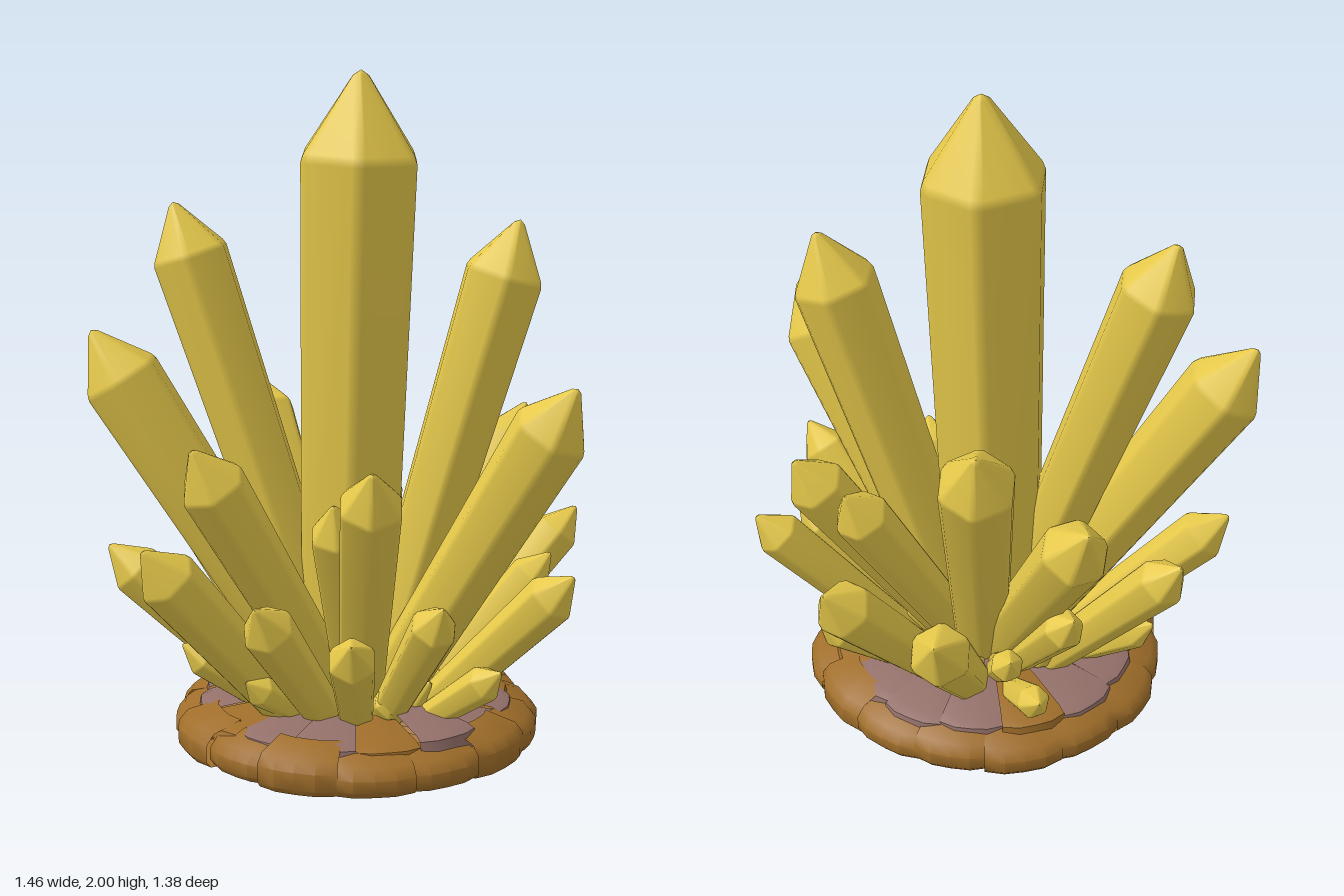
import * as THREE from 'three';
import { mergeVertices, toCreasedNormals } from 'three/addons/utils/BufferGeometryUtils.js';

const V2 = (x, y) => new THREE.Vector2(x, y);

// Small seeded random for stone irregularity
let seed = 7;
function rand() {
  seed = (seed * 16807) % 2147483647;
  return seed / 2147483647;
}

// Six-sided pointed prism with softly bevelled edges, base at the origin, tip at y = length
function crystalGeometry(length, r, baseRatio) {
  const tip = Math.min(r * 1.35, length * 0.45), s = length - tip;
  const profile = [
    V2(0.001, 0), V2(r * baseRatio, 0.005), V2(r * 0.995, s - r * 0.07),
    V2(r * 0.94, s + r * 0.08), V2(r * 0.14, length - r * 0.09), V2(r * 0.001, length),
  ];
  const lathe = new THREE.LatheGeometry(profile, 12);
  const p = lathe.attributes.position;
  for (let i = 0; i <= 12; i++) {
    // Pair the columns around the six corners
    const phi = THREE.MathUtils.degToRad(Math.floor(i / 2) * 60 + 30 + (i % 2 ? 6 : -6));
    profile.forEach((pt, j) => {
      p.setXYZ(i * profile.length + j, pt.x * Math.sin(phi), pt.y, pt.x * Math.cos(phi));
    });
  }
  lathe.deleteAttribute('normal');
  lathe.deleteAttribute('uv');
  const g = mergeVertices(lathe, 1e-5);
  g.computeVertexNormals();
  return g;
}

function addCrystal(parent, material, name, foot, tip, r, baseRatio = 0.74) {
  const dir = tip.clone().sub(foot);
  const m = new THREE.Mesh(crystalGeometry(dir.length(), r, baseRatio), material);
  m.name = name;
  m.position.copy(foot);
  m.quaternion.setFromUnitVectors(new THREE.Vector3(0, 1, 0), dir.normalize());
  parent.add(m);
}

// Sector of a ring, pinched at both ends so that each stone bulges
function stoneGeometry(profile, start, angle, pinch) {
  const g = new THREE.LatheGeometry(profile, 4, start, angle);
  const p = g.attributes.position;
  for (let i = 0; i < p.count; i++) {
    const column = Math.floor(i / profile.length);
    const k = column === 0 || column === 4 ? pinch : 1;
    p.setXYZ(i, p.getX(i) * k, p.getY(i) * (k + 1) / 2, p.getZ(i) * k);
  }
  return toCreasedNormals(g, 0.7);
}

export function createModel() {
  seed = 7;
  const yellow = new THREE.MeshStandardMaterial({ color: 0xe5c84a });
  const brown = new THREE.MeshStandardMaterial({ color: 0xa06e2a, side: THREE.DoubleSide });
  const mauve = new THREE.MeshStandardMaterial({ color: 0x94706a, side: THREE.DoubleSide });
  yellow.name = 'crystalYellow';
  brown.name = 'stoneBrown';
  mauve.name = 'stoneMauve';

  const model = new THREE.Group();
  model.name = 'crystalCluster';
  const crystals = new THREE.Group();
  crystals.name = 'crystals';
  const base = new THREE.Group();
  base.name = 'rockBase';
  base.position.x = -0.01;
  model.add(crystals, base);

  // Central column
  addCrystal(crystals, yellow, 'mainCrystal',
    new THREE.Vector3(-0.045, 0.1, 0), new THREE.Vector3(0, 2, -0.012), 0.184, 0.8);

  // Surrounding crystals: tip x, y, z and radius
  const tips = [
    // tall
    [-0.52, 1.61, 0.195, 0.118], [0.385, 1.565, -0.275, 0.122], [-0.695, 1.24, 0.375, 0.122],
    [0.715, 1.15, 0.02, 0.114], [-0.355, 1.24, -0.53, 0.112], [-0.61, 0.99, -0.36, 0.1],
    [-0.2, 0.98, 0.58, 0.098], [0.33, 0.96, 0.49, 0.093], [0.29, 0.96, -0.53, 0.088],
    [0.1, 0.92, -0.535, 0.082], [0.14, 0.82, 0.38, 0.078],
    // middle
    [-0.3, 0.7, 0.685, 0.09], [0.03, 0.565, 0.62, 0.077], [0.285, 0.475, 0.53, 0.07],
    [-0.725, 0.725, -0.04, 0.075], [-0.63, 0.6, 0.4, 0.08], [0.72, 0.61, 0.03, 0.075],
    [0.47, 0.56, 0.34, 0.068], [0.5, 0.57, -0.28, 0.065], [0.48, 0.66, -0.5, 0.071],
    [0.07, 0.67, -0.685, 0.088], [-0.32, 0.67, -0.68, 0.09], [-0.5, 0.56, -0.25, 0.062],
    // small
    [0.54, 0.32, 0.12, 0.055], [0.45, 0.33, -0.17, 0.052], [0.25, 0.36, -0.5, 0.058],
    [-0.55, 0.32, 0.12, 0.055], [-0.39, 0.32, 0.37, 0.055], [-0.12, 0.27, 0.44, 0.047],
    [-0.3, 0.32, -0.28, 0.05], [-0.46, 0.3, -0.36, 0.05],
  ];
  tips.forEach(([x, y, z, r]) => {
    const f = y > 0.8 ? 0.12 : y > 0.4 ? 0.33 : 0.5;
    const name = y > 0.8 ? 'tallCrystal' : y > 0.4 ? 'middleCrystal' : 'smallCrystal';
    addCrystal(crystals, yellow, name,
      new THREE.Vector3(x * f, 0.115, z * f), new THREE.Vector3(x, y, z), r);
  });

  // Stubby shards filling the foot of the cluster
  for (let i = 0; i < 14; i++) {
    const a = (i / 14) * Math.PI * 2, s = Math.sin(a), c = Math.cos(a), reach = 0.27 + rand() * 0.06;
    addCrystal(crystals, yellow, 'shard', new THREE.Vector3(s * 0.17, 0.12, c * 0.17),
      new THREE.Vector3(s * reach, 0.19 + rand() * 0.05, c * reach), 0.05);
  }

  // Rim stones and the slabs lying inside them
  const stones = 15, step = (Math.PI * 2) / stones;
  for (let i = 0; i < stones; i++) {
    const r = 0.53 + rand() * 0.03, h = 0.08 + rand() * 0.03;
    const stone = new THREE.Mesh(stoneGeometry([
      V2(0.44, 0.025), V2(r - 0.05, 0.004), V2(r - 0.015, 0.006), V2(r, 0.025),
      V2(r, h - 0.03), V2(r - 0.025, h), V2(0.43, h + 0.025), V2(0.43, 0.05),
    ], i * step - 0.015, step + 0.03, 0.975), brown);
    stone.name = 'rimStone';
    base.add(stone);

    const t = 0.118 + rand() * 0.025, outer = 0.47 + rand() * 0.03;
    const slab = new THREE.Mesh(stoneGeometry([
      V2(outer, 0.08), V2(outer - 0.01, t - 0.012), V2(outer - 0.04, t),
      V2(0.3, t + 0.014), V2(0.001, 0.14),
    ], i * step + 0.1, step + 0.01, 0.97), i % 4 === 1 ? brown : mauve);
    slab.name = 'topSlab';
    base.add(slab);
  }

  // Hollow underside with radial pleats
  const pleats = new THREE.CircleGeometry(0.47, 72);
  pleats.rotateX(Math.PI / 2);
  const p = pleats.attributes.position;
  p.setY(0, 0.05);
  for (let i = 1; i < p.count; i++) p.setY(i, i % 2 ? 0.03 : 0.058);
  const under = new THREE.Mesh(toCreasedNormals(pleats, 0.05), brown);
  under.name = 'pleatedUnderside';
  base.add(under);

  return model;
}
